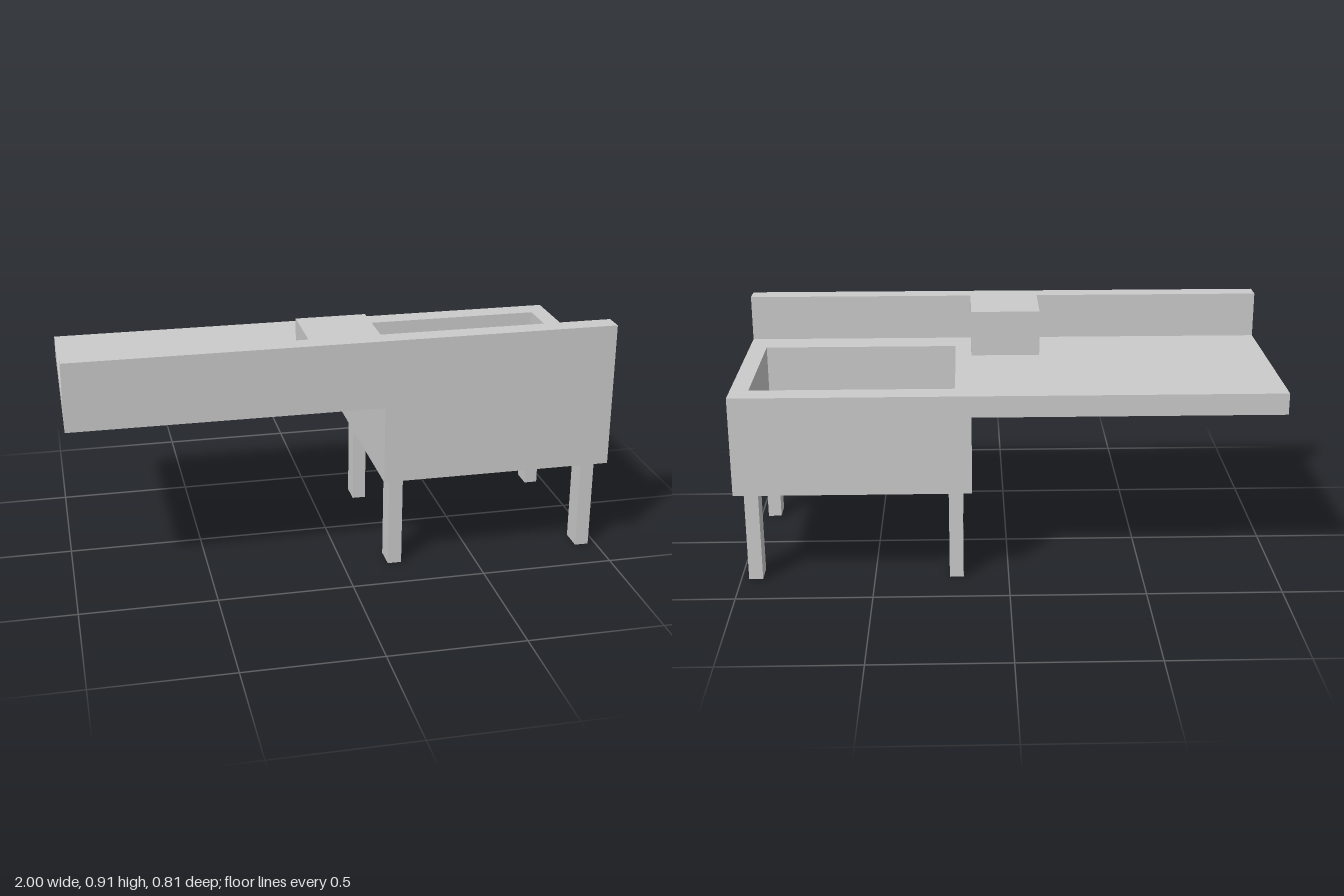
import * as THREE from 'three';

const material = new THREE.MeshStandardMaterial({ color: 0xcccccc, flatShading: true });

const RIM = 0.737, FLOOR = 0.467, BASE = 0.365, TOP = 0.91;
const BACK = -0.405, FRONT = 0.405;

export function createModel() {
  const group = new THREE.Group();

  const add = (name, geometry) => {
    const mesh = new THREE.Mesh(geometry, material);
    mesh.name = name;
    group.add(mesh);
  };

  // Box given by its limits on each axis
  const box = (name, [x0, x1], [y0, y1], [z0, z1]) =>
    add(name, new THREE.BoxGeometry(x1 - x0, y1 - y0, z1 - z0)
      .translate((x0 + x1) / 2, (y0 + y1) / 2, (z0 + z1) / 2));

  // Plan outline of [x, z] points raised from y0 to y1
  const toPoints = (pts) => pts.map(([x, z]) => new THREE.Vector2(x, -z));
  const plan = (name, outline, y0, y1, hole) => {
    const shape = new THREE.Shape(toPoints(outline));
    if (hole) shape.holes.push(new THREE.Path(toPoints(hole)));
    add(name, new THREE.ExtrudeGeometry(shape, { depth: y1 - y0, bevelEnabled: false })
      .rotateX(-Math.PI / 2).translate(0, y0, 0));
  };
  const rect = (x0, x1, z0, z1) => [[x0, z1], [x1, z1], [x1, z0], [x0, z0]];

  // Sink: walls around the open basin, and its floor
  plan('basinWalls', rect(0.135, 1, BACK, FRONT), FLOOR, RIM, rect(0.193, 0.933, -0.317, 0.213));
  box('basinFloor', [0.135, 1], [BASE, FLOOR], [BACK, FRONT]);

  // Overhanging draining board
  box('drainingBoard', [-1, 0.135], [0.657, RIM], [BACK, FRONT]);

  // Raised splashback with the tap block in the middle
  plan('splashback', [
    [-1, FRONT], [1, FRONT], [1, 0.33], [0.132, 0.33],
    [0.132, 0.087], [-0.13, 0.087], [-0.13, 0.33], [-1, 0.33],
  ], RIM, TOP);

  // Four legs under the sink
  for (const x of [0.195, 0.945])
    for (const z of [-0.293, 0.303])
      box('leg', [x - 0.026, x + 0.026], [0, BASE], [z - 0.044, z + 0.044]);

  return group;
}
